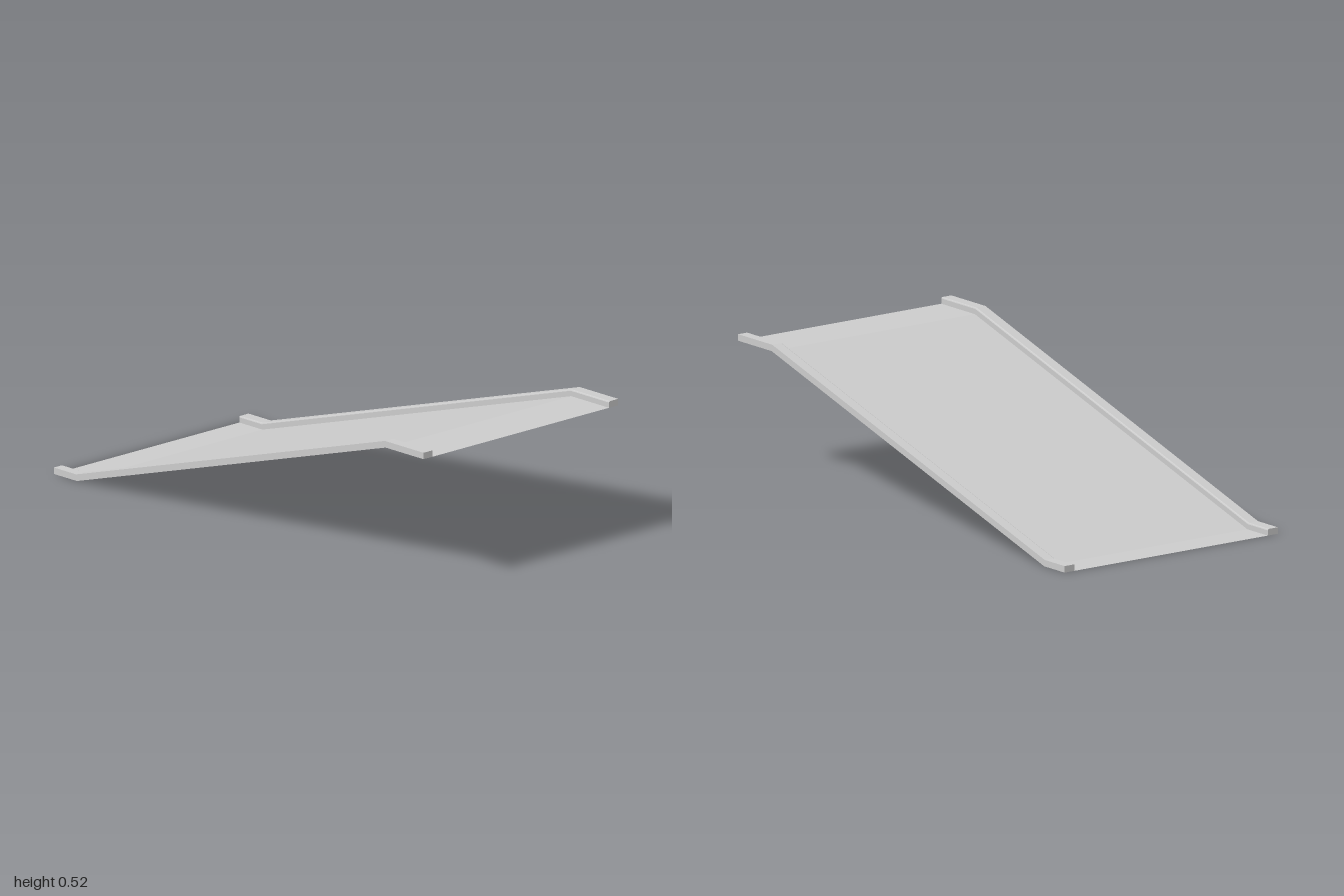
import * as THREE from 'three';

// Side line of the ramp: low landing, slope, high landing
const PATH = [[-1, 0], [-0.875, 0], [0.795, 0.5], [1, 0.5]];
const slope = Math.atan2(PATH[2][1] - PATH[1][1], PATH[2][0] - PATH[1][0]);
const miter = Math.tan(slope / 2); // x shift per unit height at each bend

// Sweep a profile of [z, height] points along the path, mitred at the bends
function sweep(profile, capped) {
  const at = (i, [z, h]) => {
    const bend = i === 1 || i === 2;
    return [PATH[i][0] - (bend ? h * miter : 0), PATH[i][1] + h, z];
  };
  const pos = [];
  const tri = (...points) => points.forEach((p) => pos.push(...p));
  const last = PATH.length - 1;
  for (let i = 0; i < last; i++) {
    for (let j = 0; j < profile.length - 1; j++) {
      const a = at(i, profile[j]), b = at(i + 1, profile[j]);
      const c = at(i + 1, profile[j + 1]), d = at(i, profile[j + 1]);
      tri(a, b, c);
      tri(a, c, d);
    }
  }
  if (capped) {
    for (let j = 1; j < profile.length - 1; j++) {
      const [p, q, r] = [profile[0], profile[j], profile[j + 1]];
      tri(at(0, p), at(0, q), at(0, r));
      tri(at(last, p), at(last, r), at(last, q));
    }
  }
  const geometry = new THREE.BufferGeometry();
  geometry.setAttribute('position', new THREE.Float32BufferAttribute(pos, 3));
  geometry.computeVertexNormals();
  return geometry;
}

export function createModel() {
  const group = new THREE.Group();
  group.name = 'ramp';
  const material = new THREE.MeshStandardMaterial({
    color: 0xcccccc, flatShading: true, side: THREE.DoubleSide,
  });
  const add = (name, geometry) => {
    const mesh = new THREE.Mesh(geometry, material);
    mesh.name = name;
    group.add(mesh);
  };

  // Thin walking surface
  add('deck', sweep([[0.5, 0], [-0.5, 0]], false));

  // Low kerbs along both edges, eased on the inner top corner
  const kerb = [[0.5, 0], [0.5, 0.025], [0.458, 0.025], [0.4545, 0.0235], [0.453, 0.02], [0.453, 0]];
  add('frontKerb', sweep(kerb, true));
  add('backKerb', sweep(kerb.map(([z, h]) => [-z, h]).reverse(), true));

  return group;
}
